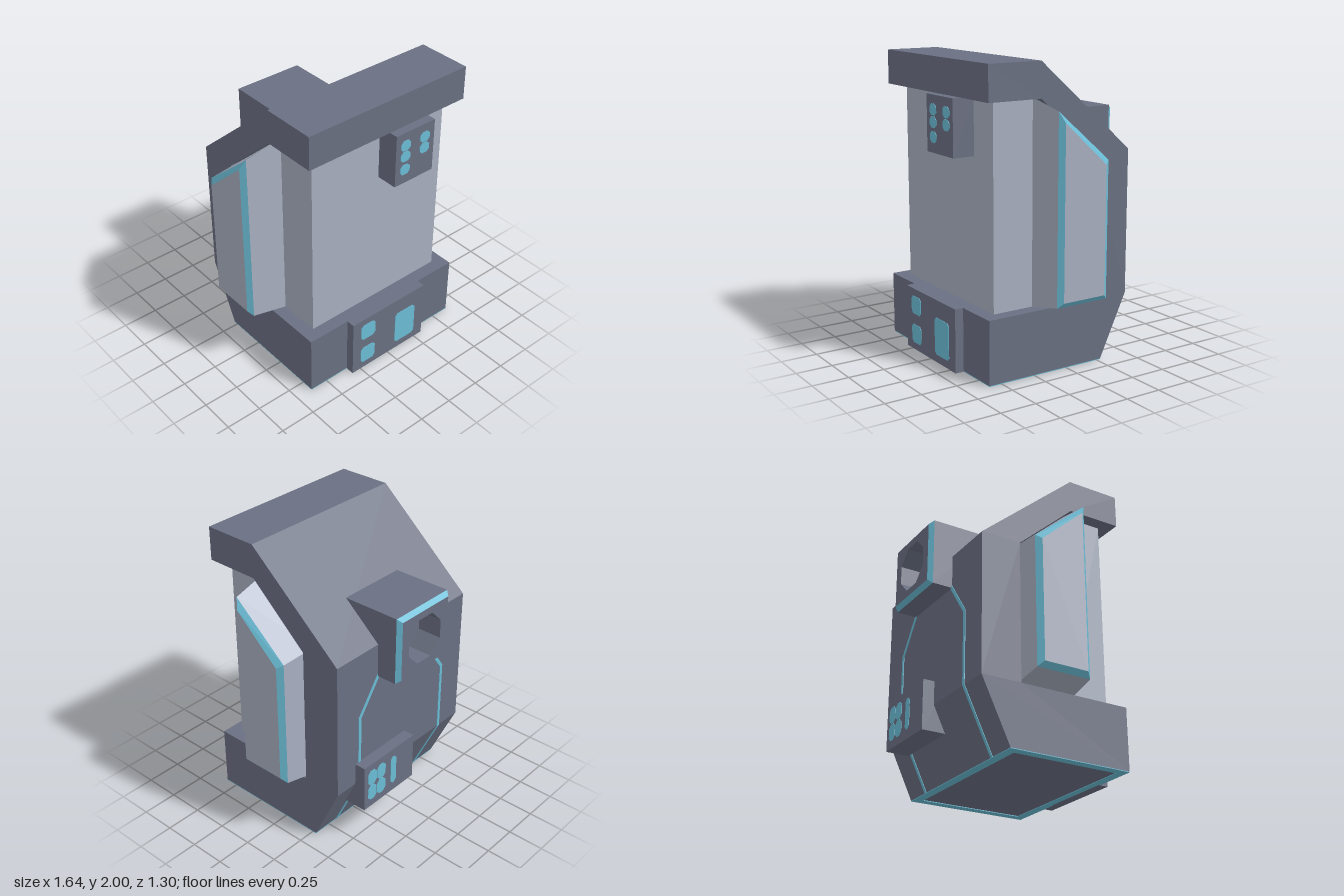
import * as THREE from 'three';

const mat = (name, color) => {
  const m = new THREE.MeshStandardMaterial({ color });
  m.name = name;
  return m;
};

export function createModel() {
  const dark = mat('slate grey', 0x6a7082);
  const light = mat('pale grey', 0xa8afc0);
  const teal = mat('light teal', 0x6bbdd6);
  const root = new THREE.Group();
  root.name = 'backpack';

  const add = (name, geo, material) => {
    const m = new THREE.Mesh(geo, material);
    m.name = name;
    root.add(m);
    return m;
  };
  // Box given by its limits on each axis
  const box = (name, material, x0, x1, y0, y1, z0, z1) =>
    add(name, new THREE.BoxGeometry(x1 - x0, y1 - y0, z1 - z0), material)
      .position.set((x0 + x1) / 2, (y0 + y1) / 2, (z0 + z1) / 2);
  const shapeOf = (pts) => new THREE.Shape(pts.map(([x, y]) => new THREE.Vector2(x, y)));
  const extrude = (shape, depth) => new THREE.ExtrudeGeometry(shape, { depth, bevelEnabled: false });

  // Flat-faced surface from a list of quads
  const quads = (list, flip = false) => {
    const pos = [];
    for (const q of list)
      for (const i of flip ? [0, 2, 1, 0, 3, 2] : [0, 1, 2, 0, 2, 3]) pos.push(...q[i]);
    const g = new THREE.BufferGeometry();
    g.setAttribute('position', new THREE.Float32BufferAttribute(pos, 3));
    g.computeVertexNormals();
    return g;
  };
  const band = (a, b) => a.map((p, i) => {
    const j = (i + 1) % a.length;
    return [p, a[j], b[j], b[i]];
  });

  // Main shell: C-shaped side profile (points as z, y)
  const profile = [[0.59, 0.005], [-0.28, 0.005], [-0.48, 0.43], [-0.48, 1.4], [0.21, 2], [0.59, 2],
    [0.59, 1.77], [0.21, 1.77], [-0.2, 1.4], [-0.2, 0.43], [0.59, 0.43]];
  const shell = extrude(shapeOf(profile.map(([z, y]) => [-z, y])), 1.26);
  shell.rotateY(Math.PI / 2).translate(-0.63, 0, 0);
  add('shell', shell, dark);

  // Teal border around the underside
  const rim = shapeOf([[-0.63, -0.28], [0.63, -0.28], [0.63, 0.59], [-0.63, 0.59]]);
  rim.holes.push(shapeOf([[-0.57, -0.22], [-0.57, 0.53], [0.57, 0.53], [0.57, -0.22]]));
  add('undersideBorder', extrude(rim, 0.005).rotateX(Math.PI / 2).translate(0, 0.005, 0), teal);

  // Padded core and the raised boxes
  box('core', light, -0.54, 0.54, 0.43, 1.77, 0.2, 0.5);
  box('lowerFrontPanel', dark, -0.32, 0.32, 0, 0.43, 0.58, 0.65);
  box('upperFrontPanel', dark, 0, 0.32, 1.4, 1.77, 0.49, 0.65);
  box('rearKeypad', dark, -0.04, 0.46, 0.25, 0.59, -0.56, -0.38);

  // Side pods: tapered base, teal bevel, flat cap
  for (const s of [1, -1]) {
    const loop = (x, zf, zb, y0, yf, yb) =>
      [[s * x, y0, zf], [s * x, y0, zb], [s * x, yb, zb], [s * x, yf, zf]];
    const a = loop(0.54, 0.21, -0.205, 0.43, 1.77, 1.4);
    const b = loop(0.79, 0.195, -0.19, 0.48, 1.71, 1.38);
    const c = loop(0.82, 0.163, -0.153, 0.515, 1.64, 1.355);
    const side = s > 0 ? 'left' : 'right';
    add(side + 'PodBase', quads(band(a, b), s < 0), light);
    add(side + 'PodBevel', quads(band(b, c), s < 0), teal);
    add(side + 'PodCap', quads([c], s < 0), light);
  }

  // Rear nozzle: square housing with an octagonal bore and teal bevel
  const square = (w, h) => {
    const sh = shapeOf([[-w, -h], [w, -h], [w, h], [-w, h]]);
    const bore = [];
    for (let i = 0; i < 8; i++) {
      const t = -(i + 0.5) * Math.PI / 4;
      bore.push([0.17 * Math.cos(t), 0.17 * Math.sin(t)]);
    }
    sh.holes.push(shapeOf(bore));
    return sh;
  };
  add('nozzleHousing', extrude(square(0.25, 0.232), 0.41).translate(0, 1.4, -0.62), dark);
  add('nozzleFace', extrude(square(0.225, 0.207), 0.03).translate(0, 1.4, -0.65), dark);
  box('nozzleFloor', dark, -0.2, 0.2, 1.2, 1.6, -0.48, -0.46);
  const ring = (w, h, z) => [[w, 1.4 - h, z], [-w, 1.4 - h, z], [-w, 1.4 + h, z], [w, 1.4 + h, z]];
  add('nozzleBevel', quads(band(ring(0.25, 0.232, -0.62), ring(0.225, 0.207, -0.65))), teal);

  // Buttons: thin plates with clipped corners
  const button = (name, x0, x1, y0, y1, z, c = 0.02) => {
    const sh = shapeOf([[x0 + c, y0], [x1 - c, y0], [x1, y0 + c], [x1, y1 - c],
      [x1 - c, y1], [x0 + c, y1], [x0, y1 - c], [x0, y0 + c]]);
    add(name, extrude(sh, 0.006).translate(0, 0, z - 0.003), teal);
  };
  button('lowerButton', -0.25, -0.125, 0.255, 0.38, 0.65);
  button('lowerButton', -0.25, -0.125, 0.05, 0.18, 0.65);
  button('lowerScreen', 0.06, 0.24, 0.055, 0.31, 0.65);
  for (const [x, y] of [[0.04, 1.64], [0.04, 1.56], [0.04, 1.465], [0.2, 1.64], [0.2, 1.56]])
    button('upperButton', x, x + 0.08, y, y + 0.073, 0.65);
  for (const x of [0.25, 0.34])
    for (const y of [0.305, 0.425]) button('keypadButton', x, x + 0.085, y, y + 0.115, -0.56, 0.025);
  button('keypadSlider', 0.14, 0.195, 0.315, 0.53, -0.56);

  // Teal lines running from the nozzle down the back
  const line = (p, q, normal) => {
    const a = new THREE.Vector3(...p), b = new THREE.Vector3(...q);
    const up = b.clone().sub(a), len = up.length();
    up.normalize();
    const out = new THREE.Vector3(...normal).normalize();
    const m = add('backLine', new THREE.BoxGeometry(0.024, len, 0.008), teal);
    m.quaternion.setFromRotationMatrix(
      new THREE.Matrix4().makeBasis(up.clone().cross(out), up, out));
    m.position.copy(a).add(b).multiplyScalar(0.5);
  };
  for (const s of [1, -1]) {
    line([s * 0.24, 1.18, -0.48], [s * 0.42, 0.93, -0.48], [0, 0, -1]);
    line([s * 0.42, 0.935, -0.48], [s * 0.42, 0.43, -0.48], [0, 0, -1]);
    line([s * 0.42, 0.43, -0.48], [s * 0.42, 0.005, -0.28], [0, -0.2, -0.425]);
  }
  return root;
}
